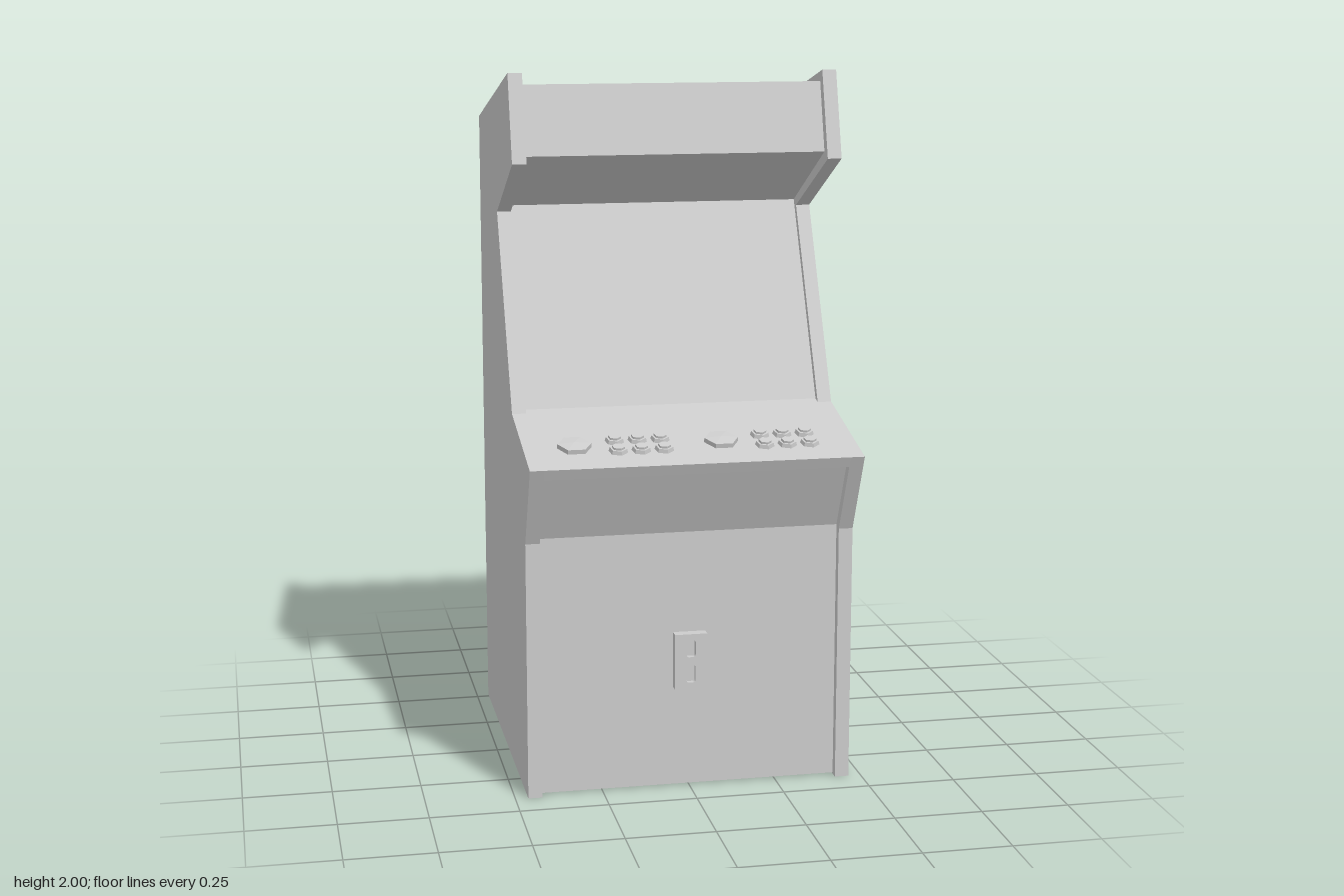
import * as THREE from 'three';

const grey = new THREE.MeshStandardMaterial({ color: 0xcccccc, flatShading: true });

function part(name, geometry, parent) {
  const mesh = new THREE.Mesh(geometry, grey);
  mesh.name = name;
  parent.add(mesh);
  return mesh;
}

// Extrude a (z, y) profile across x from x0 to x1
function slab(points, x0, x1) {
  const shape = new THREE.Shape(points.map(([z, y]) => new THREE.Vector2(-z, y)));
  const g = new THREE.ExtrudeGeometry(shape, { depth: x1 - x0, bevelEnabled: false });
  return g.rotateY(Math.PI / 2).translate(x0, 0, 0);
}

// Rounded rectangle outline, used for the coin slots
function slotPath(cx, cy, w, h, r) {
  const p = new THREE.Path();
  const corners = [[1, 1, 0], [-1, 1, 1], [-1, -1, 2], [1, -1, 3]];
  for (const [sx, sy, q] of corners) {
    p.absarc(cx + sx * (w / 2 - r), cy + sy * (h / 2 - r), r, q * Math.PI / 2, (q + 1) * Math.PI / 2);
  }
  p.closePath();
  return p;
}

export function createModel() {
  const cabinet = new THREE.Group();
  cabinet.name = 'arcadeCabinet';

  // Side panels
  const side = [
    [0.41, 0], [0.41, 0.735], [0.52, 0.965], [0.165, 1.05], [-0.11, 1.59],
    [0.237, 1.757], [0.165, 2], [-0.517, 1.835], [-0.517, 0],
  ];
  part('leftSidePanel', slab(side, 0.424, 0.464), cabinet);
  part('rightSidePanel', slab(side, -0.464, -0.424), cabinet);

  // Body set in between the sides; its control deck is flush with them
  const body = [
    [0.385, 0.004], [0.385, 0.742], [0.478, 0.935], [0.506, 0.935], [0.52, 0.965],
    [0.165, 1.05], [0.14, 1.056], [-0.138, 1.604], [0.2, 1.774], [0.144, 1.967],
    [-0.49, 1.815], [-0.49, 0.004],
  ];
  part('body', slab(body, -0.424, 0.424), cabinet);

  // Control deck, tilted towards the player: local y is the deck normal
  const tilt = Math.atan2(0.085, 0.355);
  const deck = new THREE.Group();
  deck.name = 'controls';
  deck.position.set(0, 0.996, 0.39);
  deck.rotation.x = tilt;
  cabinet.add(deck);

  for (const [player, x0] of [['right', -0.323], ['left', 0.088]]) {
    // Low six-sided stick base with a faintly domed top
    const stick = new THREE.Group();
    stick.name = player + 'Joystick';
    stick.position.x = x0;
    deck.add(stick);
    part('stickBase', new THREE.CylinderGeometry(0.048, 0.048, 0.016, 6).rotateY(Math.PI / 6).translate(0, 0.005, 0), stick);
    part('stickTop', new THREE.ConeGeometry(0.046, 0.004, 6).rotateY(Math.PI / 6).translate(0, 0.015, 0), stick);

    // Two rows of three buttons
    for (let row = 0; row < 2; row++) {
      for (let col = 0; col < 3; col++) {
        const button = new THREE.Group();
        button.name = player + 'Button';
        button.position.set(x0 + 0.116 + col * 0.064, 0, -0.028 + row * 0.064);
        button.rotation.y = 0.2;
        deck.add(button);
        part('buttonRim', new THREE.CylinderGeometry(0.024, 0.028, 0.014, 6).translate(0, 0.004, 0), button);
        part('buttonCap', new THREE.CylinderGeometry(0.018, 0.018, 0.012, 6).translate(0, 0.011, 0), button);
      }
    }
  }

  // Coin door with two recessed slots
  const coinDoor = new THREE.Group();
  coinDoor.name = 'coinDoor';
  cabinet.add(coinDoor);
  const face = new THREE.Shape([
    new THREE.Vector2(-0.046, 0.293), new THREE.Vector2(0.046, 0.293),
    new THREE.Vector2(0.046, 0.453), new THREE.Vector2(-0.046, 0.453),
  ]);
  for (const y of [0.337, 0.411]) face.holes.push(slotPath(0, y, 0.026, 0.05, 0.007));
  part('coinPlate', new THREE.ExtrudeGeometry(face, { depth: 0.035, bevelEnabled: false, curveSegments: 3 })
    .translate(0, 0, 0.38), coinDoor);
  part('coinSlotBacking', new THREE.BoxGeometry(0.08, 0.15, 0.02).translate(0, 0.373, 0.39), coinDoor);

  return cabinet;
}
